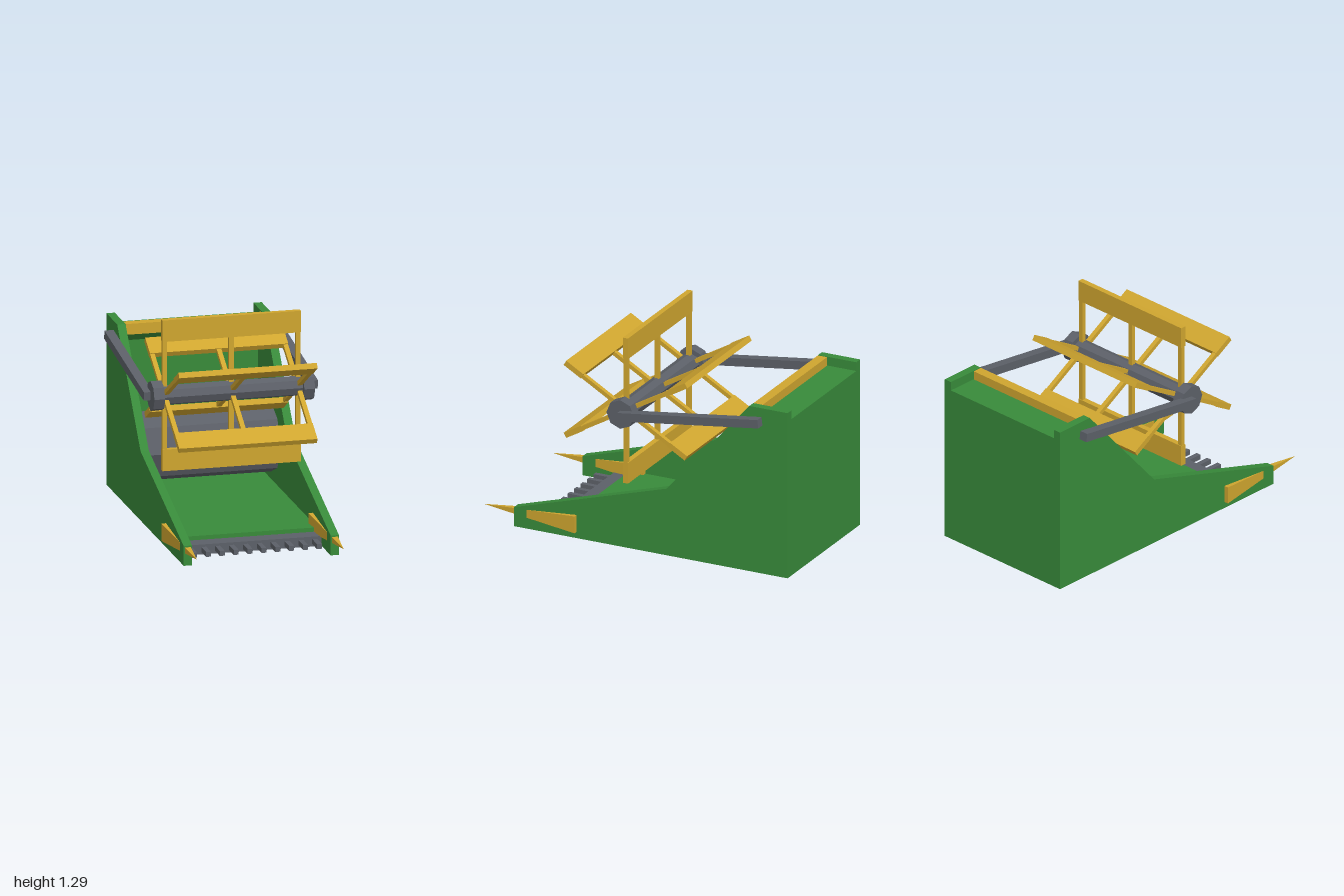
import * as THREE from 'three';

const paint = (name, color) => {
  const m = new THREE.MeshStandardMaterial({ color });
  m.name = name;
  return m;
};

export function createModel() {
  const root = new THREE.Group();
  root.name = 'harvesterHeader';
  const green = paint('green', 0x388a3a);
  const yellow = paint('yellow', 0xcfa52f);
  const grey = paint('grey', 0x5c6068);
  green.flatShading = yellow.flatShading = grey.flatShading = true;

  const add = (name, geo, mat, x = 0, y = 0, z = 0, parent = root) => {
    const mesh = new THREE.Mesh(geo, mat);
    mesh.name = name;
    mesh.position.set(x, y, z);
    parent.add(mesh);
    return mesh;
  };
  const box = (w, h, d) => new THREE.BoxGeometry(w, h, d);
  // Octagonal bar lying along x
  const bar = (r, len) => new THREE.CylinderGeometry(r, r, len, 8).rotateZ(Math.PI / 2);
  // Extrude a (z, y) outline along x, centred
  const slab = (points, width) => {
    const shape = new THREE.Shape(points.map(([z, y]) => new THREE.Vector2(z, y)));
    const geo = new THREE.ExtrudeGeometry(shape, { depth: width, bevelEnabled: false });
    return geo.translate(0, 0, -width / 2).rotateY(-Math.PI / 2);
  };

  // Floor, back wall and short overhanging hood in one section
  add('trough', slab([
    [-1, 0], [0.48, 0], [0.48, 0.085], [-0.89, 0.085],
    [-0.89, 0.9], [-0.81, 0.97], [-0.81, 0.985], [-1, 0.985],
  ], 0.84), green);
  add('topBeam', box(0.83, 0.065, 0.06), yellow, 0, 1.006, -0.78);

  // Feed drum
  add('feedDrum', bar(0.21, 0.84), grey, 0, 0.34, -0.59);

  // Cutter bar and teeth
  add('cutterBar', box(0.84, 0.06, 0.1), grey, 0, 0.03, 0.53);
  for (let i = 0; i < 10; i++) {
    add('cutterTooth', box(0.03, 0.03, 0.11), grey, -0.376 + i * 0.0836, 0.03, 0.635);
  }

  // Side panels, pointed dividers, reel arms and hubs
  const panel = slab([
    [-1, 0], [0.79, 0], [0.79, 0.12], [-0.21, 0.42], [-0.75, 1.04], [-1, 1.04],
  ], 0.05);
  const divider = new THREE.ConeGeometry(0.075, 0.62, 4).rotateY(Math.PI / 4).rotateX(Math.PI / 2);
  for (const [side, s] of [['left', 1], ['right', -1]]) {
    add(side + 'Panel', panel, green, s * 0.443, 0, 0);
    add(side + 'Divider', divider, yellow, s * 0.443, 0.093, 0.69);
    const arm = add(side + 'ReelArm', box(0.055, 0.052, 0.925), grey, s * 0.497, 0.898, -0.375);
    arm.rotation.x = 0.134;
    add(side + 'ReelHub', bar(0.09, 0.065), grey, s * 0.452, 0.838, 0.087);
  }

  // Reel: axle with six slats, each on three spokes
  const reel = new THREE.Group();
  reel.name = 'reel';
  reel.position.set(0, 0.838, 0.087);
  root.add(reel);
  add('reelAxle', bar(0.06, 0.84), grey, 0, 0, 0, reel);
  for (let i = 0; i < 6; i++) {
    const paddle = new THREE.Group();
    paddle.name = 'reelPaddle';
    paddle.rotation.x = (i * Math.PI) / 3;
    reel.add(paddle);
    add('slat', box(0.834, 0.13, 0.034), yellow, 0, 0.392, 0, paddle);
    for (const x of [-0.402, 0, 0.402]) {
      add('spoke', box(0.028, 0.32, 0.025), yellow, x, 0.19, 0, paddle);
    }
  }
  return root;
}
